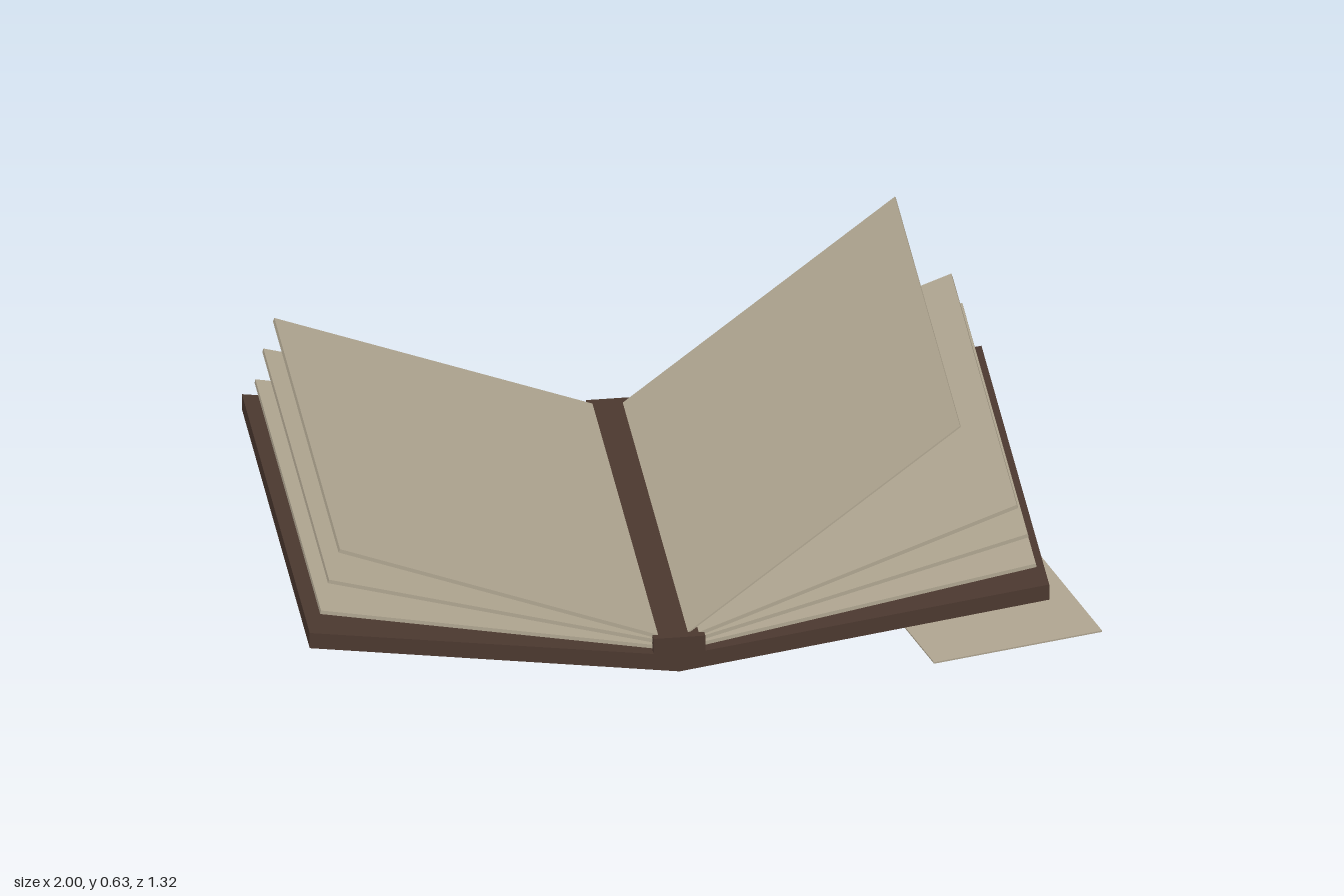
import * as THREE from 'three';

const SPINE_X = -0.07; // the book is mirrored about this line
const BOOK_Z = -0.035;

export function createModel() {
  const model = new THREE.Group();
  model.name = 'openBook';

  const leather = new THREE.MeshStandardMaterial({ color: 0x4b382f });
  leather.name = 'dark brown leather';
  const paper = new THREE.MeshStandardMaterial({ color: 0xafa590 });
  paper.name = 'aged paper';

  const add = (name, geometry, material, x, y, z) => {
    const mesh = new THREE.Mesh(geometry, material);
    mesh.name = name;
    mesh.position.set(x, y, z);
    model.add(mesh);
    return mesh;
  };

  // Flat leaf between an inner and an outer point, measured out from the spine
  const addLeaf = (name, side, [x0, y0], [x1, y1], thickness, depth) => {
    const length = Math.hypot(x1 - x0, y1 - y0);
    const leaf = add(name, new THREE.BoxGeometry(length, thickness, depth), paper,
      SPINE_X + side * (x0 + x1) / 2, (y0 + y1) / 2, BOOK_Z);
    leaf.rotation.z = side * Math.atan2(y1 - y0, x1 - x0);
  };

  // Cover: two boards meeting in a shallow V
  const coverShape = new THREE.Shape([
    [0, 0], [0.93, 0.135], [0.93, 0.178], [0, 0.045], [-0.93, 0.178], [-0.93, 0.135],
  ].map(([x, y]) => new THREE.Vector2(x, y)));
  const coverGeometry = new THREE.ExtrudeGeometry(coverShape, { depth: 1.25, bevelEnabled: false });
  coverGeometry.translate(0, 0, -0.625);
  add('cover', coverGeometry, leather, SPINE_X, 0, BOOK_Z);

  // Spine block
  add('spine', new THREE.BoxGeometry(0.13, 0.065, 1.25), leather, SPINE_X, 0.0645, BOOK_Z);

  // Three fanned leaves on each side
  const leaves = [
    [[0.052, 0.062], [0.9, 0.224]],
    [[0.052, 0.078], [0.88, 0.31]],
    [[0.052, 0.092], [0.853, 0.395]],
  ];
  for (const side of [-1, 1]) {
    leaves.forEach(([inner, outer], i) =>
      addLeaf(`${side > 0 ? 'left' : 'right'}Page${i + 1}`, side, inner, outer, 0.01, 1.21));
  }

  // Thin page caught in mid-turn
  addLeaf('turningPage', 1, [0.025, 0.095], [0.71, 0.63], 0.004, 1.2);

  // Loose sheet lying beside the book
  const sheet = add('looseSheet', new THREE.BoxGeometry(0.45, 0.004, 0.6), paper, 0.708, 0.015, 0.315);
  sheet.rotation.y = 0.24;

  return model;
}
